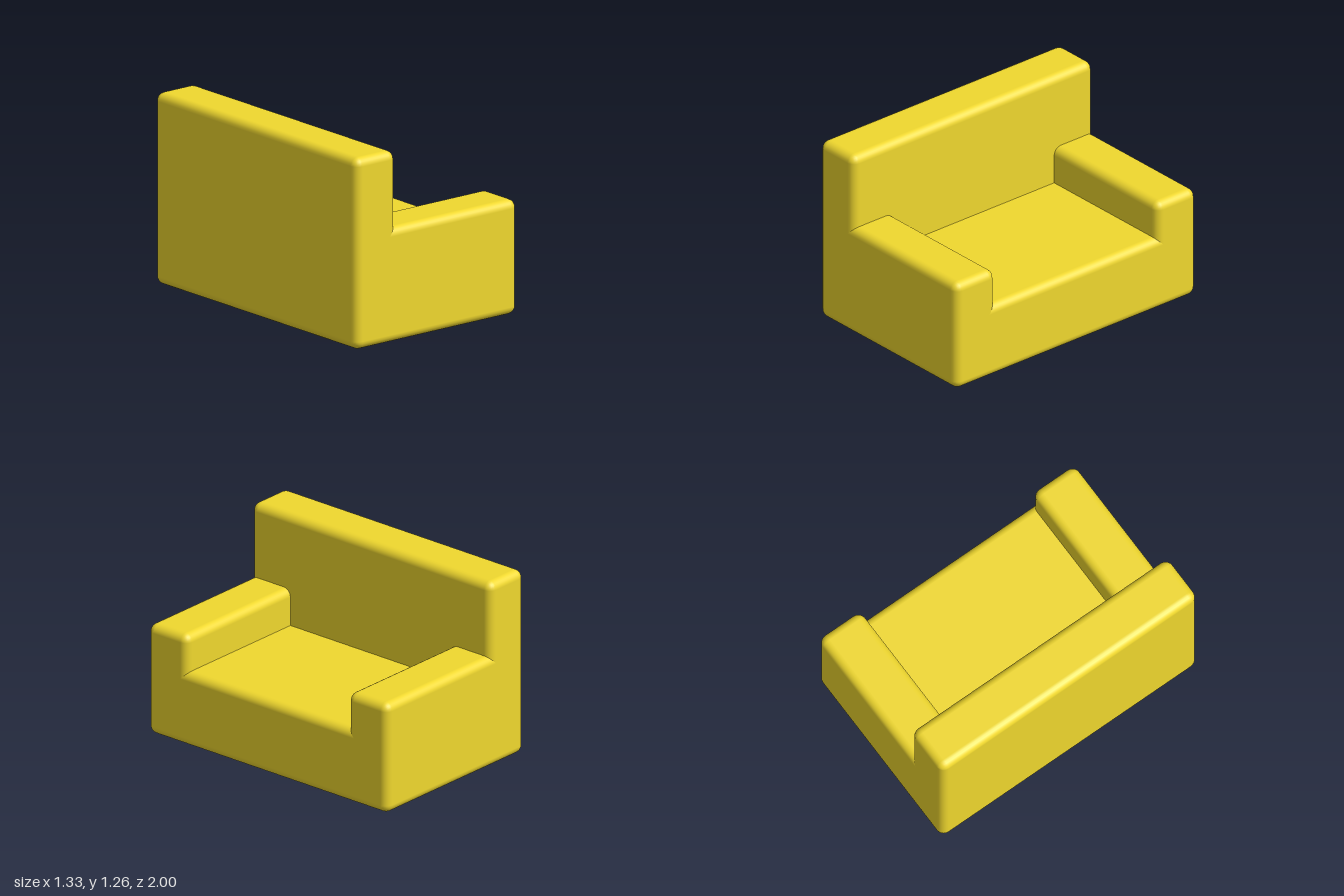
import * as THREE from 'three';
import { RoundedBoxGeometry } from 'three/addons/geometries/RoundedBoxGeometry.js';

const EDGE = 0.055; // radius of the soft edges
const HALF_X = 0.665;
const THICK = 0.33; // thickness of back and arms

export function createModel() {
  const sofa = new THREE.Group();
  sofa.name = 'sofa';
  const material = new THREE.MeshStandardMaterial({ color: 0xf0d82e });

  // Rounded block standing on the ground, given by its x and z ranges and height
  const block = (name, x0, x1, height, z0, z1) => {
    const geometry = new RoundedBoxGeometry(x1 - x0, height, z1 - z0, 3, EDGE);
    const mesh = new THREE.Mesh(geometry, material);
    mesh.name = name;
    mesh.position.set((x0 + x1) / 2, height / 2, (z0 + z1) / 2);
    sofa.add(mesh);
  };

  // Base with the seat on top
  block('seat', -HALF_X, HALF_X, 0.505, -1, 1);

  // Tall backrest along the -x side
  block('backrest', -HALF_X, -HALF_X + THICK, 1.26, -1, 1);

  // Armrests at both ends
  block('frontArmrest', -HALF_X, HALF_X, 0.755, 1 - THICK, 1);
  block('rearArmrest', -HALF_X, HALF_X, 0.755, -1, -1 + THICK);

  return sofa;
}
